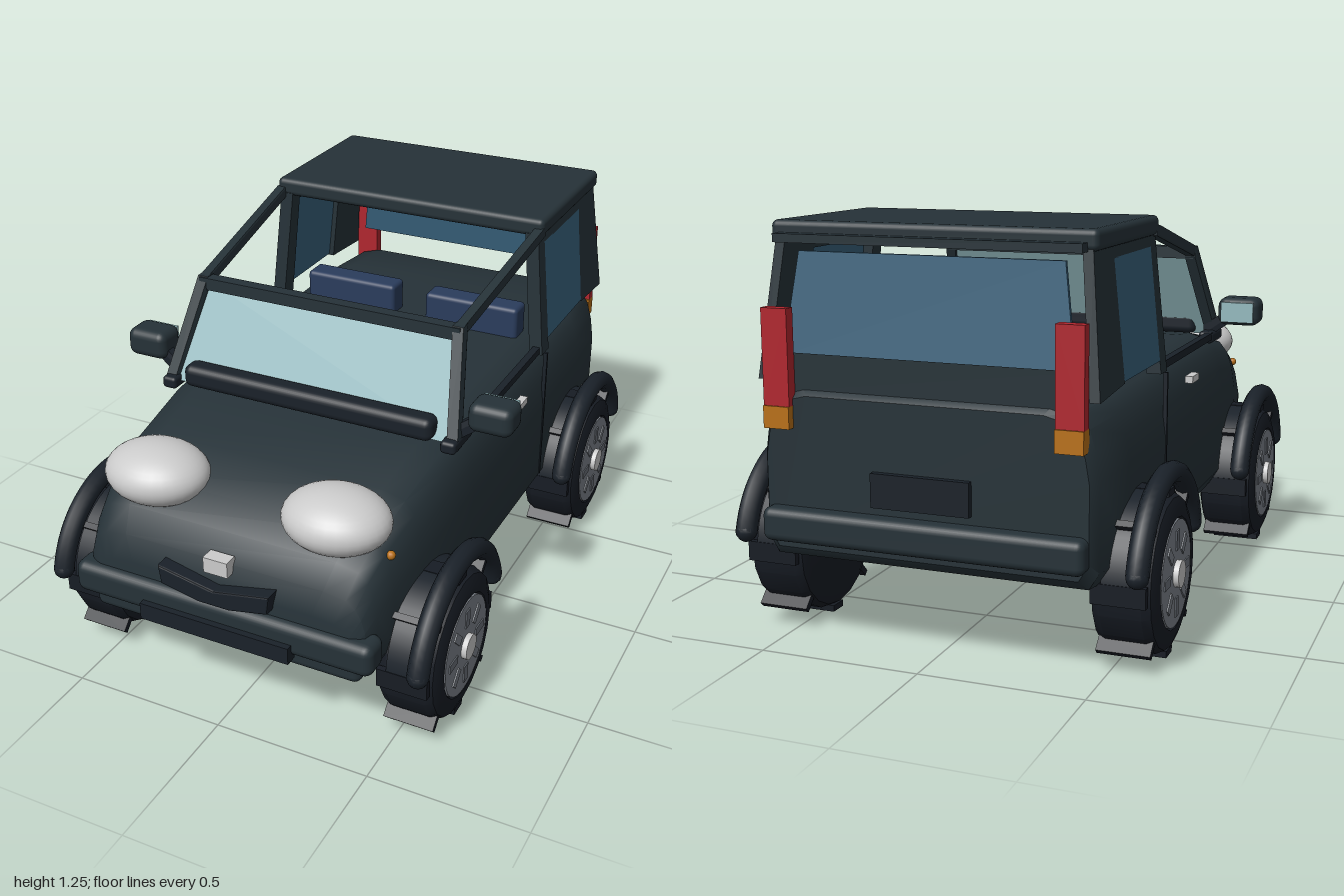
import * as THREE from 'three';
import { toCreasedNormals } from 'three/addons/utils/BufferGeometryUtils.js';
import { RoundedBoxGeometry } from 'three/addons/geometries/RoundedBoxGeometry.js';
import { ConvexGeometry } from 'three/addons/geometries/ConvexGeometry.js';

const mat = (color, side = THREE.FrontSide) => new THREE.MeshStandardMaterial({ color, side });
const paint = mat(0x263238), trim = mat(0x1a2129), rubber = mat(0x171c24);
const thinTrim = mat(0x1a2129, THREE.DoubleSide);
const glass = mat(0x37607a), paleGlass = mat(0x93b8bd), seatBlue = mat(0x2a3c5c);
const red = mat(0xb0262e), amber = mat(0xb87018), grey = mat(0xcccccc), steel = mat(0x7c828a);

const V = (x, y, z) => new THREE.Vector3(x, y, z);

export function createModel() {
  const car = new THREE.Group();
  car.name = 'car';

  const add = (name, geo, material, parent = car) => {
    const m = new THREE.Mesh(geo, material);
    m.name = name;
    parent.add(m);
    return m;
  };
  // Box given by its ranges in x, y and z, with optional rounding
  const box = (name, [x0, x1], [y0, y1], [z0, z1], material, r = 0, parent = car) => {
    const s = [x1 - x0, y1 - y0, z1 - z0];
    const geo = r ? new RoundedBoxGeometry(...s, 3, r) : new THREE.BoxGeometry(...s);
    geo.translate((x0 + x1) / 2, (y0 + y1) / 2, (z0 + z1) / 2);
    return add(name, geo, material, parent);
  };
  // Bar between two points, with a box-shaped end of size d
  const beam = (name, a, b, d, material, parent = car) => {
    const pts = [];
    for (const p of [a, b])
      for (let i = 0; i < 8; i++)
        pts.push(V(p.x + (i & 1 ? d : -d) / 2, p.y + (i & 2 ? d : -d) / 2, p.z + (i & 4 ? d : -d) / 2));
    return add(name, new ConvexGeometry(pts), material, parent);
  };
  // Sloping upper side panel from [z, y] corners, leaning inward with height
  const sideX = (y) => 0.515 - (y - 0.8) * 0.1;
  const sidePanel = (name, corners, thick, material, parent) =>
    add(name, new ConvexGeometry(corners.flatMap(([z, y]) =>
      [V(sideX(y), y, z), V(sideX(y) - thick, y, z)])), material, parent);

  // Body shell lofted along z: [z, half width, bottom, top]
  const sections = [
    [-0.95, 0.49, 0.31, 0.76], [-0.92, 0.51, 0.28, 0.785], [-0.7, 0.525, 0.26, 0.795],
    [0.3, 0.525, 0.26, 0.795], [0.42, 0.522, 0.26, 0.785], [0.65, 0.51, 0.26, 0.74],
    [0.8, 0.49, 0.27, 0.68], [0.88, 0.475, 0.28, 0.62], [0.93, 0.46, 0.29, 0.55], [0.95, 0.43, 0.31, 0.47],
  ];
  const pos = [], idx = [];
  let n = 0;
  for (const [z, w, b, t] of sections) {
    const h = t - b;
    const half = [[w - 0.03, b], [w, b + 0.05], [w, b + 0.6 * h], [w - 0.012, b + 0.76 * h],
      [w - 0.03, b + 0.88 * h], [w - 0.06, b + 0.96 * h], [w - 0.13, t]];
    const ring = [...half, ...half.map(([x, y]) => [-x, y]).reverse()];
    n = ring.length;
    ring.forEach(([x, y]) => pos.push(x, y, z));
  }
  for (let i = 0; i < sections.length - 1; i++)
    for (let j = 0; j < n; j++) {
      const a = i * n + j, b = i * n + (j + 1) % n;
      idx.push(a, b, b + n, a, b + n, a + n);
    }
  const last = (sections.length - 1) * n;
  for (let k = 1; k < n - 1; k++) idx.push(0, k + 1, k, last, last + k, last + k + 1);
  const shell = new THREE.BufferGeometry();
  shell.setAttribute('position', new THREE.Float32BufferAttribute(pos, 3));
  shell.setIndex(idx);
  add('bodyShell', toCreasedNormals(shell, 0.7), paint);

  // Bumpers, plates and nose details
  box('frontBumper', [-0.5, 0.5], [0.325, 0.43], [0.88, 0.98], paint, 0.03);
  box('frontLip', [-0.45, 0.45], [0.27, 0.34], [0.82, 0.95], paint, 0.025);
  box('frontPlate', [-0.25, 0.25], [0.315, 0.37], [0.96, 1], trim);
  box('rearBumper', [-0.49, 0.49], [0.335, 0.435], [-1, -0.9], paint, 0.025);
  box('rearPlate', [-0.15, 0.15], [0.46, 0.56], [-0.97, -0.94], trim);
  box('noseBadge', [-0.04, 0.04], [0.525, 0.575], [0.92, 0.965], grey);
  const mouth = new THREE.Shape([[-0.18, 0.51], [-0.172, 0.46], [-0.05, 0.435], [0.05, 0.435],
    [0.172, 0.46], [0.18, 0.51], [0, 0.475]].map(([x, y]) => new THREE.Vector2(x, y)));
  add('grille', new THREE.ExtrudeGeometry(mouth, { depth: 0.05, bevelSize: 0.006, bevelThickness: 0.006, bevelSegments: 2 })
    .translate(0, 0, 0.93), trim);

  // Windscreen, its frame and the cowl
  box('cowl', [-0.43, 0.43], [0.79, 0.865], [0.36, 0.435], trim, 0.025);
  add('windscreen', new ConvexGeometry([-1, 1].flatMap((s) => [0, -0.012].flatMap((d) =>
    [V(s * 0.48, 0.79, 0.4 + d), V(s * 0.425, 1.085, 0.25 + d)]))), paleGlass);
  box('windscreenHeader', [-0.45, 0.45], [1.065, 1.105], [0.235, 0.275], paint);

  // Roof and tailgate
  box('roof', [-0.49, 0.49], [1.19, 1.25], [-0.89, -0.315], paint, 0.018);
  box('roofLip', [-0.46, 0.46], [1.19, 1.215], [-0.93, -0.86], paint);
  add('rearWindow', new ConvexGeometry([-1, 1].flatMap((s) => [0, 0.012].flatMap((d) =>
    [V(s * 0.44, 0.87, -0.925 + d), V(s * 0.4, 1.165, -0.89 + d)]))), glass);
  const tailgate = add('tailgatePanel', new THREE.PlaneGeometry(0.96, 0.12), paint);
  tailgate.rotation.y = Math.PI;
  tailgate.position.set(0, 0.82, -0.932);

  // Everything that repeats on both sides
  for (const side of [1, -1]) {
    const g = new THREE.Group();
    g.name = side > 0 ? 'leftSide' : 'rightSide';
    g.scale.x = side;
    car.add(g);

    beam('windscreenPillar', V(0.49, 0.79, 0.39), V(0.44, 1.09, 0.25), 0.035, paint, g);
    box('pillarFoot', [0.46, 0.51], [0.77, 0.81], [0.29, 0.435], trim, 0.012, g);
    beam('roofRail', V(0.44, 1.09, 0.25), V(0.475, 1.205, -0.33), 0.03, paint, g);
    beam('doorSill', V(0.495, 0.795, 0.3), V(0.495, 0.795, -0.33), 0.024, trim, g);
    sidePanel('centrePillar', [[-0.305, 0.78], [-0.37, 0.78], [-0.37, 1.2], [-0.315, 1.2]], 0.045, paint, g);
    sidePanel('sideWindow', [[-0.37, 0.82], [-0.725, 0.82], [-0.725, 1.16], [-0.37, 1.16]], 0.012, glass, g);
    sidePanel('windowHeader', [[-0.36, 1.157], [-0.725, 1.157], [-0.725, 1.2], [-0.36, 1.2]], 0.03, paint, g);
    sidePanel('rearPillar', [[-0.72, 0.815], [-0.94, 0.8], [-0.885, 1.2], [-0.72, 1.2]], 0.03, paint, g);
    box('doorSeam', [0.515, 0.528], [0.31, 0.78], [-0.337, -0.327], trim, 0, g);
    box('doorHandle', [0.52, 0.545], [0.705, 0.727], [-0.1, -0.02], grey, 0, g);
    box('mirror', [0.525, 0.665], [0.837, 0.93], [0.285, 0.395], paint, 0.028, g);
    box('mirrorGlass', [0.54, 0.65], [0.85, 0.917], [0.278, 0.29], paleGlass, 0, g);
    beam('mirrorArm', V(0.48, 0.81, 0.36), V(0.55, 0.86, 0.35), 0.03, trim, g);
    box('seatBack', [0.06, 0.4], [0.74, 0.9], [-0.45, -0.36], seatBlue, 0.015, g);
    box('tailLamp', [0.4, 0.482], [0.73, 1.01], [-0.97, -0.935], red, 0, g);
    box('rearIndicator', [0.4, 0.482], [0.665, 0.73], [-0.975, -0.93], amber, 0, g);

    const eye = add('headlamp', new THREE.SphereGeometry(1, 32, 20), grey, g);
    eye.scale.set(0.165, 0.092, 0.14);
    eye.position.set(0.3, 0.7, 0.785);
    const blinker = add('frontIndicator', new THREE.SphereGeometry(0.014, 12, 8), amber, g);
    blinker.position.set(0.47, 0.625, 0.785);

    for (const z of [0.615, -0.612]) {
      const w = new THREE.Group();
      w.name = z > 0 ? 'frontWheel' : 'rearWheel';
      w.position.set(0.543, 0.25, z);
      g.add(w);

      // Tyre, rim disc and hub, turned about the axle
      const tyre = new THREE.LatheGeometry([[0, -0.097], [0.19, -0.097], [0.222, -0.085], [0.235, -0.06],
        [0.235, 0.06], [0.222, 0.085], [0.19, 0.097], [0.165, 0.097], [0.16, 0.088], [0, 0.088]]
        .map(([r, y]) => new THREE.Vector2(r, y)), 20).rotateZ(-Math.PI / 2);
      add('tyre', toCreasedNormals(tyre, 0.5), rubber, w);
      add('rim', new THREE.CylinderGeometry(0.158, 0.158, 0.012, 32).rotateZ(-Math.PI / 2).translate(0.092, 0, 0), steel, w);
      add('hub', new THREE.CylinderGeometry(0.04, 0.04, 0.03, 20).rotateZ(-Math.PI / 2).translate(0.1, 0, 0), grey, w);

      // Eight spokes, and eight tread blocks set against the direction of turn
      for (let i = 0; i < 8; i++) {
        const a = i * Math.PI / 4;
        add('spoke', new THREE.BoxGeometry(0.016, 0.058, 0.028).translate(0.094, 0.1, 0).rotateX(a), rubber, w)
          .material = i % 2 ? steel : mat(0x6a7078);
        const tread = add('tread', new THREE.BoxGeometry(0.16, 0.02, 0.06), rubber, w);
        tread.position.set(0, Math.cos(a) * 0.24, Math.sin(a) * 0.24);
        tread.rotation.x = -a;
      }

      // Wheel-arch lining and the rounded flare outside it
      add('archLining', new THREE.CylinderGeometry(0.25, 0.25, 0.1, 24, 1, true, 0, Math.PI)
        .rotateZ(Math.PI / 2).translate(0, 0.0, 0), thinTrim, w).position.x = 0.0;
      const arc = Math.PI * 0.84;
      const flare = new THREE.TorusGeometry(0.29, 0.033, 10, 28, arc)
        .rotateZ((Math.PI - arc) / 2).rotateY(Math.PI / 2);
      add('archFlare', flare, trim, w).position.x = 0.065;
      for (const s of [-1, 1]) {
        const end = add('flareEnd', new THREE.SphereGeometry(0.033, 12, 8), trim, w);
        const a = (Math.PI - arc) / 2;
        end.position.set(0.065, Math.sin(a) * 0.29, s * Math.cos(a) * 0.29);
      }
    }
  }
  return car;
}
